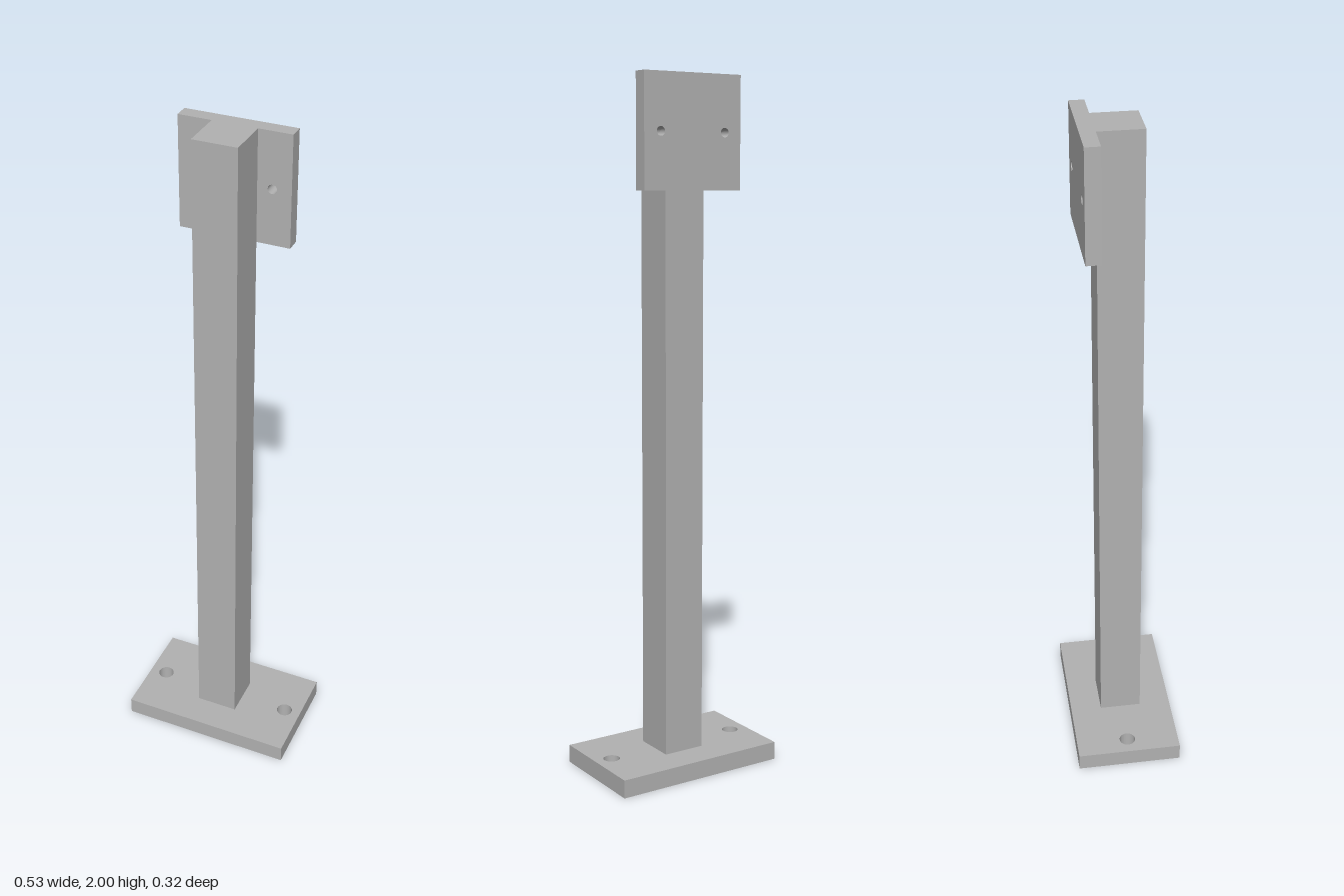
import * as THREE from 'three';

// Rectangular plate in the XY plane with two round holes, extruded along +z
function drilledPlate(width, height, depth, holeX, holeRadius) {
  const w = width / 2, h = height / 2;
  const shape = new THREE.Shape();
  shape.moveTo(-w, -h);
  shape.lineTo(w, -h);
  shape.lineTo(w, h);
  shape.lineTo(-w, h);
  shape.closePath();
  for (const side of [-1, 1]) {
    const hole = new THREE.Path();
    hole.absarc(side * holeX, 0, holeRadius, 0, Math.PI * 2, true);
    shape.holes.push(hole);
  }
  return new THREE.ExtrudeGeometry(shape, { depth, bevelEnabled: false, curveSegments: 32 });
}

export function createModel() {
  const group = new THREE.Group();
  group.name = 'bracketPost';
  const steel = new THREE.MeshStandardMaterial({ color: 0xb2b2b2 });
  steel.name = 'grey steel';

  const add = (name, geometry) => {
    const mesh = new THREE.Mesh(geometry, steel);
    mesh.name = name;
    group.add(mesh);
  };

  const baseHeight = 0.053, postSize = 0.126, plateHeight = 0.316;

  // Floor plate with two anchor holes
  add('basePlate', drilledPlate(0.526, 0.316, baseHeight, 0.211, 0.024).rotateX(-Math.PI / 2));

  // Square upright
  const postHeight = 2 - baseHeight;
  add('post', new THREE.BoxGeometry(postSize, postHeight, postSize)
    .translate(0, baseHeight + postHeight / 2, 0));

  // Mounting plate on the back of the post, flush with its top
  add('mountingPlate', drilledPlate(0.316, plateHeight, 0.042, 0.105, 0.013)
    .translate(0, 2 - plateHeight / 2, -0.105));

  return group;
}
